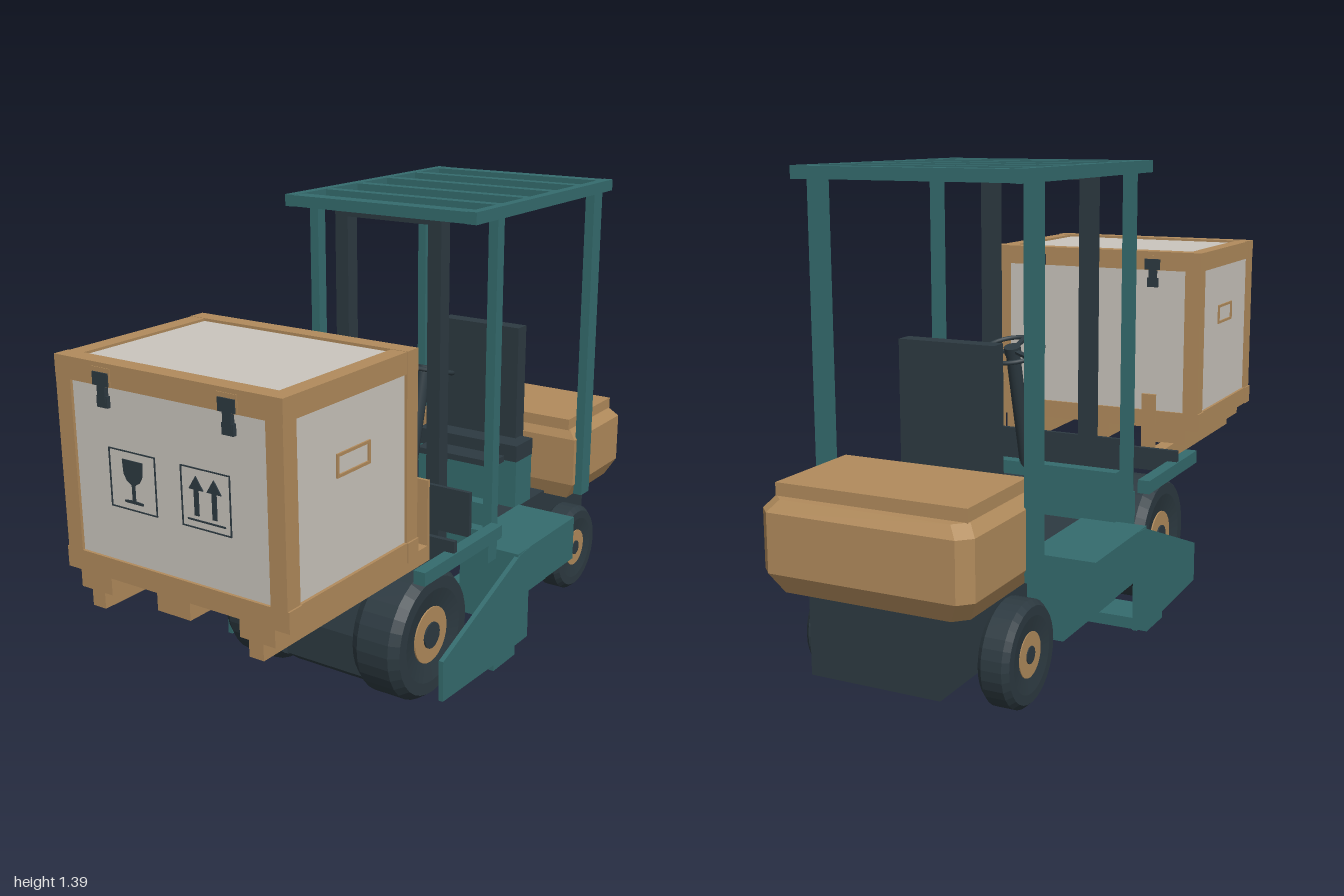
import * as THREE from 'three';

export function createModel() {
  const model = new THREE.Group();
  const mat = (name, color) => {
    const m = new THREE.MeshStandardMaterial({ color, side: THREE.DoubleSide });
    m.name = name;
    return m;
  };
  const teal = mat('teal paint', 0x356c6e);
  const dark = mat('dark slate', 0x2d3a41);
  const tan = mat('tan wood', 0xb18b5c);
  const beige = mat('pale panel', 0xcac5bd);

  const add = (name, geo, material, parent = model) => {
    const m = new THREE.Mesh(geo, material);
    m.name = name;
    parent.add(m);
    return m;
  };
  // box from its minimum and maximum on each axis
  const box = (name, material, x0, x1, y0, y1, z0, z1) => {
    const g = new THREE.BoxGeometry(x1 - x0, y1 - y0, z1 - z0);
    g.translate((x0 + x1) / 2, (y0 + y1) / 2, (z0 + z1) / 2);
    return add(name, g, material);
  };
  const pair = (name, material, x0, x1, ...r) => {
    box(name + 'Left', material, x0, x1, ...r);
    box(name + 'Right', material, -x1, -x0, ...r);
  };
  // side profile of [z, y] points, extruded across x
  const profileX = (name, material, pts, x0, x1) => {
    const s = new THREE.Shape(pts.map(([z, y]) => new THREE.Vector2(-z, y)));
    const g = new THREE.ExtrudeGeometry(s, { depth: x1 - x0, bevelEnabled: false });
    g.rotateY(Math.PI / 2).translate(x0, 0, 0);
    return add(name, g, material);
  };
  const rod = (name, material, a, b, r, n = 12) => {
    const A = new THREE.Vector3(...a), B = new THREE.Vector3(...b);
    const m = add(name, new THREE.CylinderGeometry(r, r, A.distanceTo(B), n), material);
    m.position.copy(A).add(B).multiplyScalar(0.5);
    m.quaternion.setFromUnitVectors(new THREE.Vector3(0, 1, 0), B.sub(A).normalize());
    return m;
  };

  // wheels: tyre with bevelled shoulders, hub and cap
  const wheel = (name, x, y, z, r, w, hub, cap) => {
    const g = new THREE.Group();
    g.name = name;
    const h = w / 2;
    const pts = [[0, -h * 0.75], [hub, -h * 0.75], [hub, -h * 0.85], [r * 0.72, -h], [r * 0.9, -h], [r, -h * 0.65],
      [r, h * 0.65], [r * 0.9, h], [r * 0.72, h], [hub, h * 0.85], [hub, h * 0.75], [0, h * 0.75]]
      .map((p) => new THREE.Vector2(...p));
    const tyre = new THREE.LatheGeometry(pts, 32).toNonIndexed();
    tyre.computeVertexNormals();
    add('tyre', tyre, dark, g);
    add('hub', new THREE.CylinderGeometry(hub, hub, w * 0.9, 24), tan, g);
    add('hubCap', new THREE.CylinderGeometry(cap, cap, w * 0.96, 16), dark, g);
    g.rotation.z = Math.PI / 2;
    g.position.set(x, y, z);
    model.add(g);
  };
  for (const s of [-1, 1]) {
    const side = s > 0 ? 'Left' : 'Right';
    wheel('frontWheel' + side, s * 0.235, 0.203, 0.272, 0.197, 0.16, 0.085, 0.04);
    wheel('rearWheel' + side, s * 0.262, 0.15, -0.665, 0.145, 0.09, 0.062, 0.024);
  }
  rod('frontAxle', dark, [-0.2, 0.2, 0.272], [0.2, 0.2, 0.272], 0.03);
  rod('rearAxle', dark, [-0.25, 0.15, -0.665], [0.25, 0.15, -0.665], 0.025);

  // chassis
  box('rearChassis', dark, -0.19, 0.19, 0.11, 0.345, -0.94, -0.45);
  box('floor', dark, -0.195, 0.195, 0.3, 0.345, -0.46, -0.02);
  profileX('driveHousing', dark, [[0.1, 0.02], [0.32, 0.02], [0.37, 0.06], [0.37, 0.18],
    [0.34, 0.28], [0.32, 0.29], [0.19, 0.29], [0.1, 0.2]], -0.145, 0.145);
  box('bottomPlate', teal, -0.395, 0.395, 0.02, 0.055, -0.07, 0.06);

  // side platforms and guards
  pair('platform', teal, 0.19, 0.395, 0.205, 0.35, -0.455, -0.08);
  pair('platformBase', teal, 0.15, 0.3, 0.11, 0.205, -0.455, -0.08);
  const guard = [[0.35, 0.175], [0.35, 0.05], [0.06, 0.04], [0.06, 0.02], [-0.07, 0.02], [-0.07, 0.05],
    [-0.15, 0.05], [-0.15, 0.205], [-0.15, 0.35], [-0.09, 0.345]];
  profileX('guardLeft', teal, guard, 0.382, 0.397);
  profileX('guardRight', teal, guard, -0.397, -0.382);

  // dash, seat and steering
  box('dash', teal, -0.33, 0.33, 0.33, 0.43, -0.06, -0.01);
  box('dashPanel', teal, -0.3, 0.3, 0.34, 0.5, -0.09, -0.05);
  box('seatPedestal', teal, -0.19, 0.19, 0.345, 0.505, -0.535, -0.43);
  box('seatCushion', dark, -0.145, 0.145, 0.5, 0.52, -0.55, -0.35);
  box('seatBase', dark, -0.19, 0.19, 0.505, 0.56, -0.54, -0.43);
  box('seatBack', dark, -0.145, 0.145, 0.555, 0.935, -0.557, -0.505);
  rod('steeringColumn', dark, [0, 0.49, -0.07], [0, 0.86, -0.165], 0.021);
  const steer = new THREE.Group();
  steer.name = 'steeringWheel';
  add('rim', new THREE.TorusGeometry(0.09, 0.007, 8, 32), dark, steer);
  for (let i = 0; i < 3; i++) {
    const a = -Math.PI / 2 + i * Math.PI * 2 / 3;
    const spoke = add('spoke', new THREE.BoxGeometry(0.09, 0.014, 0.008), dark, steer);
    spoke.position.set(Math.cos(a) * 0.045, Math.sin(a) * 0.045, 0);
    spoke.rotation.z = a;
  }
  const boss = add('boss', new THREE.CylinderGeometry(0.025, 0.025, 0.022, 16), dark, steer);
  boss.rotation.x = Math.PI / 2;
  steer.position.set(0, 0.855, -0.163);
  steer.rotation.x = -Math.PI / 2 - 0.28;
  model.add(steer);

  // mast, overhead guard
  pair('mast', dark, 0.14, 0.185, 0.28, 1.365, -0.005, 0.042);
  box('mastTop', dark, -0.185, 0.185, 1.343, 1.365, -0.005, 0.042);
  box('mastLowerBar', dark, -0.14, 0.14, 0.31, 0.36, 0, 0.035);
  pair('frontPost', teal, 0.3, 0.33, 0.35, 1.37, -0.062, -0.025);
  pair('rearPost', teal, 0.3, 0.33, 0.355, 1.37, -0.695, -0.638);
  pair('roofSide', teal, 0.3, 0.33, 1.365, 1.4, -0.767, 0.095);
  [[-0.767, -0.72], [-0.605, -0.57], [-0.438, -0.402], [-0.27, -0.235], [-0.102, -0.068], [0.045, 0.095]]
    .forEach(([a, b]) => box('roofBar', teal, -0.3, 0.3, 1.366, 1.399, a, b));

  // lifting carriage and forks
  pair('carriageArm', teal, 0.338, 0.375, 0.425, 0.465, -0.01, 0.415);
  box('carriageRear', dark, -0.3, 0.3, 0.43, 0.57, 0.042, 0.055);
  box('carriageFront', dark, -0.37, 0.37, 0.43, 0.5, 0.24, 0.255);
  pair('fork', tan, 0.243, 0.288, 0.427, 0.474, 0.255, 1);
  pair('forkHeel', tan, 0.243, 0.288, 0.47, 0.67, 0.256, 0.266);

  // rear case: rings with cut corners at rising levels
  const levels = [[0.335, 0.03], [0.39, 0], [0.55, 0], [0.58, 0.025]];
  const ring = ([y, i]) => {
    const X = 0.305 - i, f = -0.62 - i * 0.6, b = -1 + i, c = 0.035;
    return [[X, f], [X, b + c], [X - c, b], [c - X, b], [-X, b + c], [-X, f]].map(([x, z]) => [x, y, z]);
  };
  const rings = levels.map(ring), pos = [];
  for (let l = 0; l < 3; l++) for (let k = 0; k < 6; k++) {
    const a = rings[l][k], b = rings[l][(k + 1) % 6], c = rings[l + 1][(k + 1) % 6], d = rings[l + 1][k];
    pos.push(...a, ...b, ...c, ...a, ...c, ...d);
  }
  for (let k = 1; k < 5; k++) {
    pos.push(...rings[0][0], ...rings[0][k + 1], ...rings[0][k]);
    pos.push(...rings[3][0], ...rings[3][k], ...rings[3][k + 1]);
  }
  const caseGeo = new THREE.BufferGeometry();
  caseGeo.setAttribute('position', new THREE.Float32BufferAttribute(pos, 3));
  caseGeo.computeVertexNormals();
  add('rearCase', caseGeo, tan);
  box('rearCaseLid', tan, -0.277, 0.277, 0.578, 0.615, -0.948, -0.63);

  // crate: panels inside a timber frame, on pallet runners
  box('cratePanels', beige, -0.357, 0.357, 0.53, 1.092, 0.447, 0.992);
  for (const [a, b] of [[0.44, 0.49], [0.95, 1]]) {
    box('crateRailTop', tan, -0.366, 0.366, 1.04, 1.1, a, b);
    box('crateRailBottom', tan, -0.37, 0.37, 0.52, 0.577, a, b);
    pair('cratePost', tan, 0.314, 0.365, 0.577, 1.04, a, b);
  }
  pair('crateSideTop', tan, 0.315, 0.364, 1.04, 1.099, 0.49, 0.95);
  pair('crateSideBottom', tan, 0.315, 0.366, 0.52, 0.577, 0.49, 0.95);
  box('crateFloor', tan, -0.36, 0.36, 0.52, 0.53, 0.45, 0.99);
  for (const x of [-0.27, 0, 0.27]) box('palletRunner', tan, x - 0.055, x + 0.055, 0.472, 0.52, 0.44, 1);

  // crate latches, front and back
  for (const x of [-0.203, 0.203]) for (const [z, s] of [[1, 1], [0.44, -1]]) {
    const q = (name, m, w, y0, y1, t) =>
      box(name, m, x - w, x + w, y0, y1, Math.min(z - s * 0.008, z + s * t), Math.max(z - s * 0.008, z + s * t));
    q('latchPlate', tan, 0.031, 1.04, 1.088, 0.002);
    q('latchTop', dark, 0.026, 1.042, 1.076, 0.006);
    q('latchArm', dark, 0.013, 1.0, 1.045, 0.005);
    q('latchFoot', dark, 0.018, 0.985, 1.015, 0.003);
  }

  // rectangular outline as a thin extruded frame
  const frame = (w, h, t, depth) => {
    const rect = (P, a, b) => new P().moveTo(-a, -b).lineTo(a, -b).lineTo(a, b).lineTo(-a, b).closePath();
    const s = rect(THREE.Shape, w / 2, h / 2);
    s.holes.push(rect(THREE.Path, w / 2 - t, h / 2 - t));
    return new THREE.ExtrudeGeometry(s, { depth, bevelEnabled: false });
  };
  for (const s of [-1, 1]) {
    const handle = add('crateHandle', frame(0.14, 0.062, 0.008, 0.006), tan);
    handle.rotation.y = s * Math.PI / 2;
    handle.position.set(s * 0.356, 0.878, 0.72);
  }

  // handling symbols on the front panel
  const Z = 0.992;
  const plate = (name, pts) => add(name, new THREE.ExtrudeGeometry(
    new THREE.Shape(pts.map((p) => new THREE.Vector2(...p))), { depth: 0.003, bevelEnabled: false }), dark).position.z = Z;
  for (const x of [-0.122, 0.118])
    add('symbolBorder', frame(0.157, 0.157, 0.003, 0.003), dark).position.set(x, 0.803, Z);
  plate('gobletSymbol', [[-0.155, 0.858], [-0.152, 0.82], [-0.142, 0.803], [-0.126, 0.793], [-0.126, 0.752],
    [-0.152, 0.75], [-0.152, 0.744], [-0.09, 0.744], [-0.09, 0.75], [-0.116, 0.752], [-0.116, 0.793],
    [-0.1, 0.803], [-0.09, 0.82], [-0.087, 0.858]]);
  for (const x of [0.088, 0.145])
    plate('arrowSymbol', [[x, 0.86], [x - 0.023, 0.825], [x - 0.007, 0.825], [x - 0.007, 0.758],
      [x + 0.007, 0.758], [x + 0.007, 0.825], [x + 0.023, 0.825]]);
  plate('arrowBase', [[0.058, 0.744], [0.178, 0.744], [0.178, 0.748], [0.058, 0.748]]);

  return model;
}
